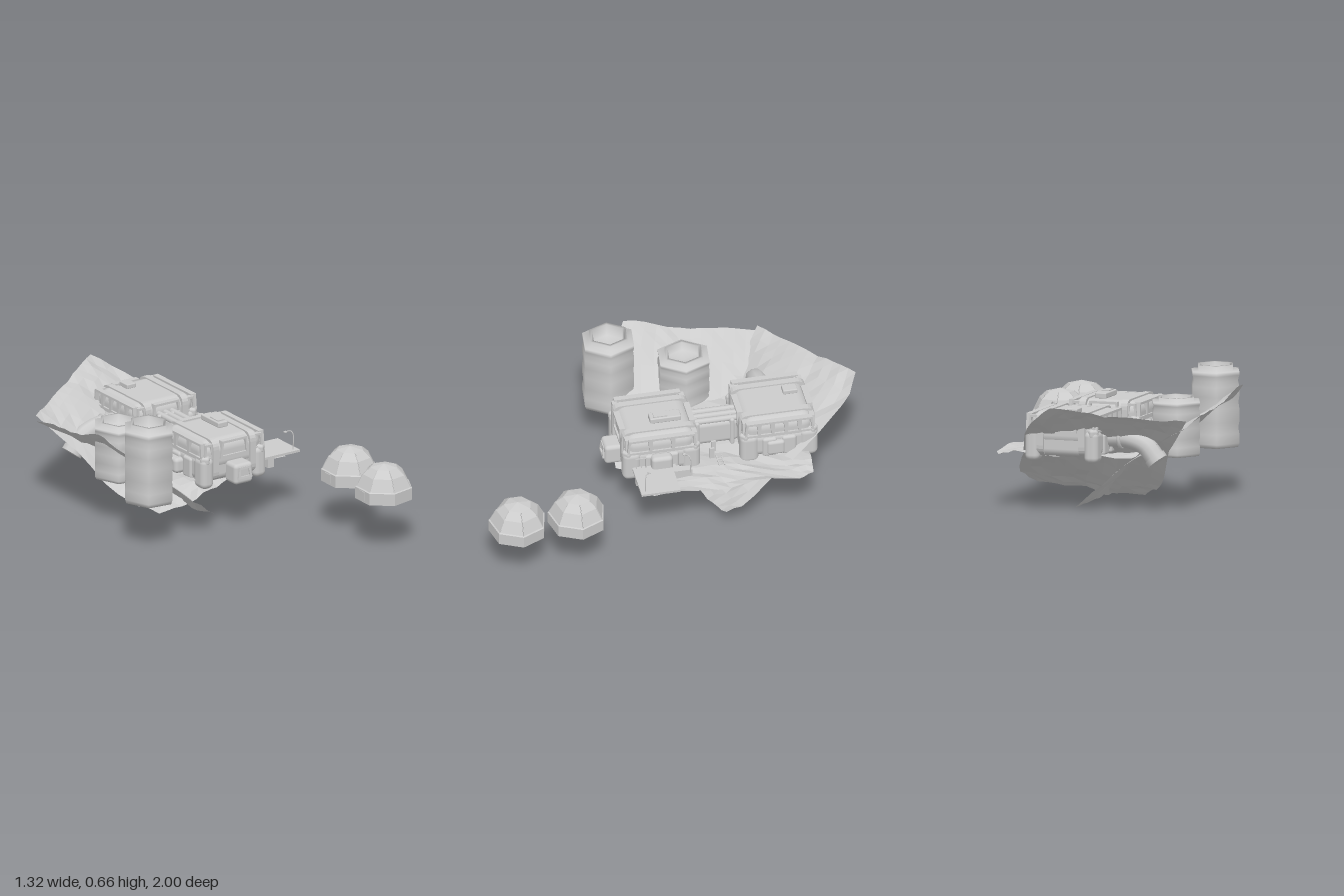
import * as THREE from 'three';
import { RoundedBoxGeometry } from 'three/addons/geometries/RoundedBoxGeometry.js';

const smooth = new THREE.MeshStandardMaterial({ color: 0xcccccc, side: THREE.DoubleSide });
const faceted = new THREE.MeshStandardMaterial({ color: 0xcccccc, side: THREE.DoubleSide, flatShading: true });

function add(parent, name, geometry, x = 0, y = 0, z = 0, material = smooth) {
  const mesh = new THREE.Mesh(geometry, material);
  mesh.name = name;
  mesh.position.set(x, y, z);
  parent.add(mesh);
  return mesh;
}
const group = (parent, name, x = 0, y = 0, z = 0) => {
  const g = new THREE.Group();
  g.name = name;
  g.position.set(x, y, z);
  parent.add(g);
  return g;
};
const box = (w, h, d) => new THREE.BoxGeometry(w, h, d);
const round = (w, h, d, r) => new RoundedBoxGeometry(w, h, d, 3, r);
const lathe = (points, sides) => new THREE.LatheGeometry(points.map(p => new THREE.Vector2(...p)), sides);
const curve = points => new THREE.CatmullRomCurve3(points.map(p => new THREE.Vector3(...p)));
const ramp = t => Math.min(1, Math.max(0, t));
const hash = (i, j) => {
  const s = Math.sin(i * 127.1 + j * 311.7) * 43758.5453;
  return s - Math.floor(s);
};

// Point at t (0..1) along a polyline of [x, z] points
function along(line, t) {
  const f = t * (line.length - 1), i = Math.min(Math.floor(f), line.length - 2), k = f - i;
  return [0, 1].map(a => line[i][a] * (1 - k) + line[i + 1][a] * k);
}

// Rocky sheet: grid blended between four border lines, lifted by a height rule and a bulge in the middle
function rockSheet(parent, name, back, front, left, right, height, bulge, seed) {
  const n = 12, geometry = new THREE.PlaneGeometry(1, 1, n, n), pos = geometry.attributes.position;
  for (let j = 0; j <= n; j++) for (let i = 0; i <= n; i++) {
    const u = i / n, v = j / n;
    const b = along(back, u), f = along(front, u), l = along(left, v), r = along(right, v);
    const [x, z] = [0, 1].map(a => b[a] * (1 - v) + f[a] * v + l[a] * (1 - u) + r[a] * u
      - (1 - u) * (1 - v) * back[0][a] - u * (1 - v) * back.at(-1)[a]
      - (1 - u) * v * front[0][a] - u * v * front.at(-1)[a]);
    const y = height(x, z) + bulge * Math.sin(u * Math.PI) * Math.sin(v * Math.PI)
      + 0.009 * Math.sin(x * 17 + seed) * Math.cos(z * 14) + (hash(i + seed, j) - 0.5) * 0.014;
    pos.setXYZ(j * (n + 1) + i, x, Math.max(0, y), z);
  }
  add(parent, name, geometry, 0, 0, 0, faceted);
}

// Panel of framed openings, facing +z
function windowStrip(count, w, h, depth, gap = 0.014) {
  const shape = new THREE.Shape([[-w / 2 + 0.01, h / 2], [-w / 2, -h / 2], [w / 2, -h / 2], [w / 2 - 0.01, h / 2]]
    .map(p => new THREE.Vector2(...p)));
  const cell = (w - gap) / count;
  for (let i = 0; i < count; i++) {
    const a = -w / 2 + gap + i * cell, b = a + cell - gap, t = h / 2 - 0.012;
    shape.holes.push(new THREE.Path([[a + 0.005, t], [b - 0.005, t], [b, -t], [a, -t]]
      .map(p => new THREE.Vector2(...p))));
  }
  return new THREE.ExtrudeGeometry(shape, { depth, bevelEnabled: false });
}

// Rounded hoop that wraps the hull lengthwise
function hoop(w, l, h) {
  const ring = (a, b, r, S) => {
    const s = new S();
    s.moveTo(-a + r, -b);
    s.lineTo(a - r, -b); s.quadraticCurveTo(a, -b, a, -b + r);
    s.lineTo(a, b - r); s.quadraticCurveTo(a, b, a - r, b);
    s.lineTo(-a + r, b); s.quadraticCurveTo(-a, b, -a, b - r);
    s.lineTo(-a, -b + r); s.quadraticCurveTo(-a, -b, -a + r, -b);
    return s;
  };
  const shape = ring(l / 2, h / 2, 0.05, THREE.Shape);
  shape.holes.push(ring(l / 2 - 0.025, h / 2 - 0.025, 0.04, THREE.Path));
  return new THREE.ExtrudeGeometry(shape, { depth: w, bevelEnabled: false, curveSegments: 5 })
    .translate(0, 0, -w / 2).rotateY(Math.PI / 2);
}

// Habitat block with tub, windows, hoops and feet
function habitat(parent, name, y, z, sideWindows) {
  const g = group(parent, name, 0.016, y, z);
  add(g, 'upperHull', round(0.365, 0.17, 0.37, 0.06), 0, 0.16, 0);
  add(g, 'lowerTub', round(0.375, 0.14, 0.36, 0.04), 0, 0.095, 0);
  for (const s of [-1, 1]) {
    add(g, 'roofHoop', hoop(0.035, 0.39, 0.22), s * 0.112, 0.142, 0);
    const side = add(g, 'sideWindows', windowStrip(sideWindows, 0.36, 0.085, 0.03), s * 0.162, 0.198, 0);
    side.rotation.y = s * Math.PI / 2;
    const end = group(g, 'endFace');
    end.rotation.y = s > 0 ? 0 : Math.PI;
    add(end, 'endWindow', windowStrip(1, 0.17, 0.09, 0.03), 0, 0.195, 0.165);
    add(end, 'cheekWindow', windowStrip(1, 0.06, 0.08, 0.025), -0.15, 0.195, 0.16);
    add(end, 'cheekWindow', windowStrip(1, 0.06, 0.08, 0.025), 0.15, 0.195, 0.16);
    for (const t of [-1, 1]) {
      add(g, 'foot', round(0.075, 0.165, 0.095, 0.03), s * 0.159, 0.082, t * 0.152);
      add(g, 'cornerBumper', round(0.05, 0.045, 0.05, 0.015), s * 0.165, 0.15, t * 0.172).rotation.y = Math.PI / 4;
      add(g, 'sidePod', round(0.03, 0.11, 0.075, 0.014), s * 0.182, 0.085, t * 0.05);
    }
  }
  return g;
}

// Open six-sided storage tank with slightly waisted walls
function tank(parent, x, z, bottom, height) {
  const k = height / 0.415;
  const p = [[0, 0], [0.13, 0], [0.137, 0.02], [0.137, 0.07], [0.131, 0.1], [0.137, 0.13], [0.137, 0.2], [0.132, 0.23],
    [0.137, 0.26], [0.137, 0.31], [0.129, 0.34], [0.137, 0.365], [0.137, 0.385], [0.102, 0.387], [0.102, 0.415],
    [0.085, 0.415], [0.082, 0.35], [0, 0.345]].map(([r, y]) => [r, y * k]);
  add(parent, 'storageTank', lathe(p, 6).rotateY(Math.PI / 2 - 0.1).scale(0.98, 1, 1.05), x, bottom, z);
}

// Seven-sided dome on a low wall, open underneath
function dome(parent, z) {
  const g = group(parent, 'domeShelter', 0.508, 0.263, z);
  g.rotation.y = Math.PI / 2;
  const p = [[0.148, 0], [0.148, 0.062], [0.141, 0.066], [0.11, 0.127], [0.07, 0.162], [0, 0.178]];
  add(g, 'domeShell', lathe(p, 7), 0, 0, 0, faceted);
  for (let i = 0; i < 7; i++) {
    const a = i * Math.PI * 2 / 7;
    for (let j = 2; j < 4; j++) {
      const [from, to] = [p[j], p[j + 1]].map(([r, y]) => new THREE.Vector3(r * Math.sin(a), y, r * Math.cos(a)));
      add(g, 'domeRib', new THREE.TubeGeometry(new THREE.LineCurve3(from, to), 1, 0.0025, 4));
    }
  }
  const door = group(g, 'doorMount');
  door.rotation.y = Math.PI;
  add(door, 'domeDoor', box(0.05, 0.045, 0.008), 0, 0.035, 0.133);
}

// Lamp post with a bent arm
function lamp(parent, x, y, z, dx, dz) {
  const path = curve([[0, 0, 0], [0, 0.085, 0], [dx * 0.3, 0.1, dz * 0.3], [dx, 0.095, dz]]);
  add(parent, 'lampPost', new THREE.TubeGeometry(path, 14, 0.003, 5), x, y, z);
  add(parent, 'lampHead', box(0.014, 0.006, 0.014), x + dx, y + 0.094, z + dz);
}

export function createModel() {
  const model = new THREE.Group();
  model.name = 'outpost';

  // Three tilted sheets of rocky ground; the two slopes meet along a rising crease
  const ground = group(model, 'ground');
  rockSheet(ground, 'backSlope',
    [[-0.61, -0.62], [-0.42, -0.75], [-0.2, -0.89], [-0.02, -1]],
    [[-0.2, -0.12], [0, -0.14], [0.2, -0.19], [0.375, -0.25]],
    [[-0.61, -0.62], [-0.46, -0.47], [-0.31, -0.2], [-0.2, -0.12]],
    [[-0.02, -1], [0.09, -0.94], [0.2, -0.78], [0.29, -0.56], [0.4, -0.34], [0.375, -0.25]],
    (x, z) => 0.555 - 0.61 * (z + 1) - (x < 0 ? 0.24 : 0.1) * x * ramp((-z - 0.3) / 0.3), 0.015, 3);
  rockSheet(ground, 'sideSlope',
    [[-0.61, -0.62], [-0.45, -0.58], [-0.3, -0.54], [-0.13, -0.57], [0.02, -0.53]],
    [[-0.66, 0.06], [-0.58, 0.12], [-0.4, 0.17], [-0.22, 0.22], [-0.09, 0.22]],
    [[-0.61, -0.62], [-0.63, -0.28], [-0.66, 0.06]],
    [[0.02, -0.53], [0.02, -0.3], [0, -0.12], [-0.09, 0.22]],
    (x, z) => 0.56 - 0.84 * (x + 0.65) - 0.07 * ramp(-z / 0.5) * ramp((-x - 0.3) / 0.3), 0.025, 31);
  rockSheet(ground, 'levelGround',
    [[-0.33, -0.66], [0, -0.7], [0.26, -0.71], [0.37, -0.7]],
    [[-0.28, 0.18], [0, 0.2], [0.2, 0.18], [0.4, 0.13]],
    [[-0.33, -0.66], [-0.31, -0.2], [-0.28, 0.18]],
    [[0.37, -0.7], [0.41, -0.62], [0.4, -0.4], [0.415, -0.2], [0.4, 0.13]],
    () => 0.285, 0, 57);

  // Storage tanks
  tank(model, -0.466, 0.178, 0.245, 0.415);
  tank(model, -0.395, -0.195, 0.245, 0.295);

  // Dome shelters
  dome(model, 0.548);
  dome(model, 0.853);

  // Front habitat with porch and roof hatch
  const front = habitat(model, 'frontHabitat', 0.247, 0.045, 3);
  add(front, 'porch', round(0.112, 0.108, 0.1, 0.02), 0.01, 0.072, 0.217);
  add(front, 'porchWindow', windowStrip(1, 0.085, 0.06, 0.012), 0.01, 0.08, 0.262).rotation.x = -0.1;
  add(front, 'roofHatch', round(0.06, 0.03, 0.16, 0.006), 0.04, 0.258, -0.045);
  add(front, 'hatchLid', box(0.04, 0.008, 0.07), 0.04, 0.274, -0.02);
  add(front, 'airlock', round(0.06, 0.12, 0.11, 0.02), 0.205, 0.085, 0.005);
  add(front, 'leftUnit', round(0.06, 0.08, 0.14, 0.02), -0.203, 0.08, -0.06);

  // Rear habitat with roof hatch and side units
  const rear = habitat(model, 'rearHabitat', 0.257, -0.56, 5);
  add(rear, 'roofHatch', round(0.055, 0.025, 0.075, 0.005), -0.04, 0.255, -0.1);
  add(rear, 'rightUnit', round(0.04, 0.08, 0.09, 0.015), 0.19, 0.085, 0.02);
  add(rear, 'ductBox', round(0.07, 0.05, 0.03, 0.008), -0.24, 0.1, 0.075);

  // Duct bending down through the slope
  const path = curve([[-0.14, 0.37, -0.56], [-0.27, 0.37, -0.56], [-0.37, 0.335, -0.56], [-0.425, 0.27, -0.56]]);
  add(model, 'sideDuct', new THREE.TubeGeometry(path, 16, 0.05, 10));
  add(model, 'ductCollar', new THREE.TorusGeometry(0.05, 0.01, 6, 12), -0.24, 0.37, -0.56).rotation.y = Math.PI / 2;
  add(model, 'ductMouth', new THREE.CylinderGeometry(0.056, 0.056, 0.03, 10), -0.425, 0.27, -0.56).rotation.z = -0.65;

  // Corridor joining the habitats
  const corridor = group(model, 'corridor', 0.013, 0.37, -0.255);
  add(corridor, 'corridorBody', round(0.12, 0.14, 0.26, 0.03));
  for (const x of [-0.04, 0, 0.04])
    add(corridor, 'corridorPipe', new THREE.CylinderGeometry(0.016, 0.016, 0.25, 10), x, 0.07, 0).rotation.x = Math.PI / 2;
  for (const z of [-0.09, 0.09]) add(corridor, 'corridorCollar', round(0.14, 0.16, 0.025, 0.012), 0, 0, z);

  // Landing platform with steps, rails and lamps
  const deck = group(model, 'platform');
  add(deck, 'deckPlate', box(0.23, 0.012, 0.2), 0.325, 0.322, 0.1);
  add(deck, 'deckEdge', box(0.036, 0.06, 0.29), 0.267, 0.296, 0.05);
  for (let i = 0; i < 4; i++) add(deck, 'step', box(0.05, 0.006, 0.018), 0.24, 0.318 - i * 0.012, -0.012 - i * 0.02);
  for (const z of [-0.262, -0.235]) add(deck, 'ladderRail', box(0.08, 0.005, 0.005), 0.24, 0.325, z);
  for (let i = 0; i < 4; i++) add(deck, 'ladderRung', box(0.004, 0.004, 0.03), 0.21 + i * 0.02, 0.325, -0.248);
  for (const z of [0.13, 0.155, 0.18]) add(deck, 'railPost', box(0.005, 0.06, 0.005), 0.222, 0.355, z);
  add(deck, 'handRail', box(0.005, 0.005, 0.06), 0.222, 0.385, 0.155);
  for (const [x, z] of [[0.11, -0.24], [0.165, -0.22]]) add(deck, 'marker', box(0.012, 0.06, 0.025), x, 0.32, z);
  lamp(deck, 0.305, 0.325, -0.08, -0.03, 0.025);
  lamp(deck, 0.415, 0.325, 0.175, -0.03, -0.025);

  return model;
}
